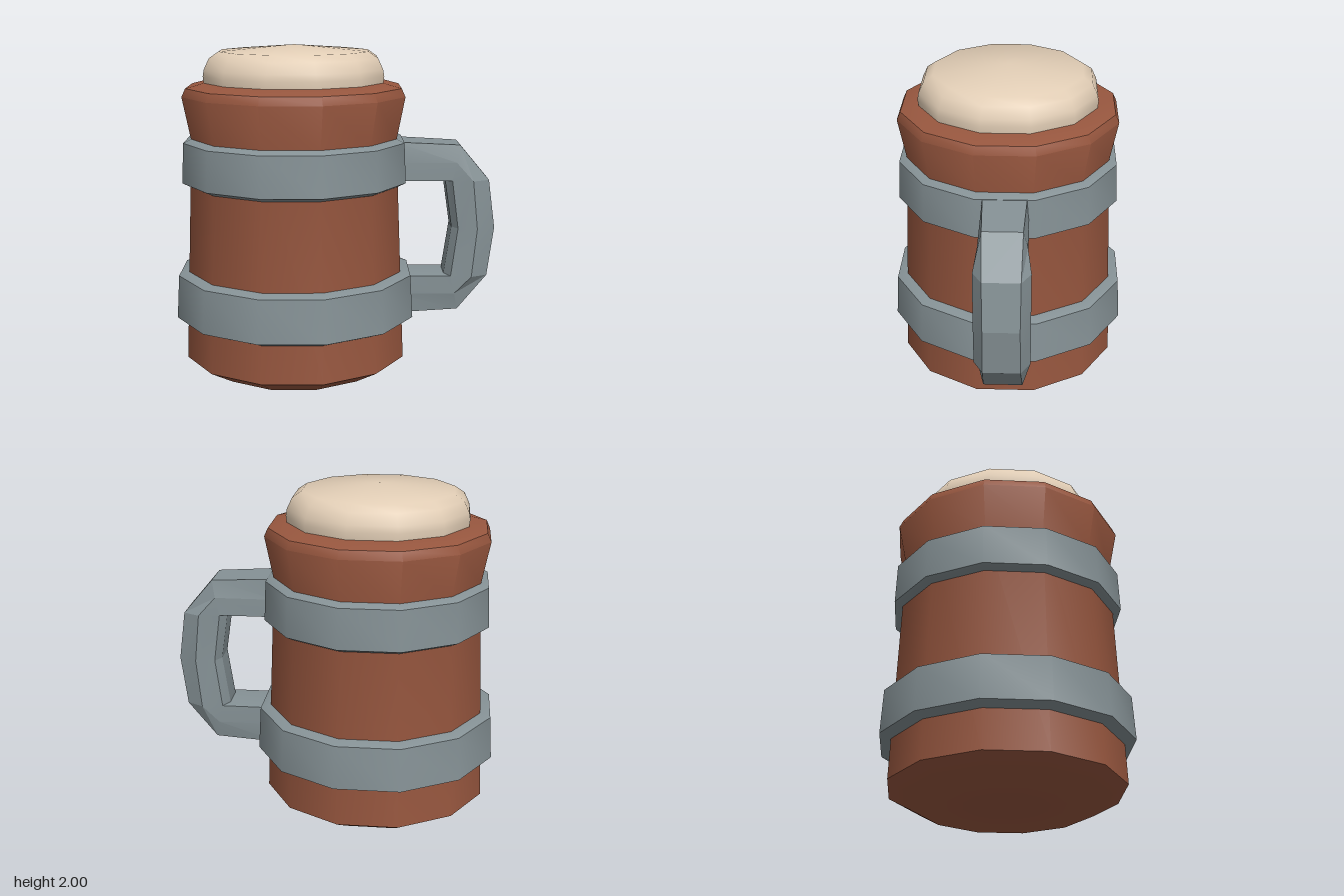
import * as THREE from 'three';
import { toCreasedNormals } from 'three/addons/utils/BufferGeometryUtils.js';

const SIDES = 12;
const AXIS_X = -0.25;

// Turned twelve-sided part; profile radii are measured to the flats.
function turned(name, profile, material) {
  const k = 1 / Math.cos(Math.PI / SIDES);
  const points = profile.map(([r, y]) => new THREE.Vector2(r * k, y));
  const geometry = new THREE.LatheGeometry(points, SIDES, Math.PI / SIDES);
  const mesh = new THREE.Mesh(toCreasedNormals(geometry, 0.7), material);
  mesh.name = name;
  mesh.position.x = AXIS_X;
  return mesh;
}

// Joins cross-section rings into a faceted sweep.
function loft(rings) {
  const positions = [];
  const n = rings[0].length;
  for (let i = 0; i < rings.length - 1; i++) {
    for (let j = 0; j < n; j++) {
      const a = rings[i][j], b = rings[i][(j + 1) % n];
      const c = rings[i + 1][(j + 1) % n], d = rings[i + 1][j];
      positions.push(...a, ...b, ...c, ...a, ...c, ...d);
    }
  }
  const geometry = new THREE.BufferGeometry();
  geometry.setAttribute('position', new THREE.Float32BufferAttribute(positions, 3));
  return toCreasedNormals(geometry, 0.2);
}

export function createModel() {
  const wood = new THREE.MeshStandardMaterial({ color: 0x98573f });
  wood.name = 'red brown wood';
  const metal = new THREE.MeshStandardMaterial({ color: 0x869296 });
  metal.name = 'grey metal';
  const cream = new THREE.MeshStandardMaterial({ color: 0xe2ceb6 });
  cream.name = 'cream foam';

  const model = new THREE.Group();
  model.name = 'tankard';

  // Tapered body with a chamfered foot and flared rim
  model.add(turned('body', [
    [0, 0], [0.51, 0], [0.665, 0.09], [0.612, 1.44],
    [0.662, 1.70], [0.64, 1.75], [0.53, 1.78], [0.45, 1.775],
  ], wood));

  // Domed foam
  model.add(turned('foam', [
    [0.53, 1.76], [0.537, 1.82], [0.53, 1.86], [0.50, 1.925],
    [0.445, 1.963], [0, 2.0],
  ], cream));

  // Bevelled hoops
  model.add(turned('upperBand', [
    [0.61, 1.16], [0.625, 1.16], [0.67, 1.183], [0.66, 1.425], [0.61, 1.45], [0.60, 1.45],
  ], metal));
  model.add(turned('lowerBand', [
    [0.64, 0.325], [0.66, 0.325], [0.72, 0.35], [0.705, 0.612], [0.65, 0.633], [0.62, 0.633],
  ], metal));

  // Handle sections: [x, y, half width] from the outside to the inside
  const upper = [
    [[0.36, 1.425, 0.13], [0.36, 1.30, 0.14], [0.36, 1.19, 0.14], [0.36, 1.185, 0.08]],
    [[0.75, 1.405, 0.115], [0.73, 1.30, 0.14], [0.705, 1.19, 0.14], [0.667, 1.185, 0.08]],
    [[0.93, 1.19, 0.108], [0.83, 1.19, 0.163], [0.706, 1.188, 0.14], [0.667, 1.184, 0.08]],
  ];
  const middle = [[0.97, 0.895, 0.105], [0.86, 0.895, 0.163], [0.745, 0.895, 0.14], [0.71, 0.895, 0.08]];
  const lower = upper.map((s) => s.map(([x, y, w]) => [x, 1.785 - y, w])).reverse();
  const rings = [...upper, middle, ...lower].map((section) => [
    ...section.map(([x, y, w]) => [x, y, w]),
    ...section.map(([x, y, w]) => [x, y, -w]).reverse(),
  ]);
  const handle = new THREE.Mesh(loft(rings), metal);
  handle.name = 'handle';
  model.add(handle);

  return model;
}
